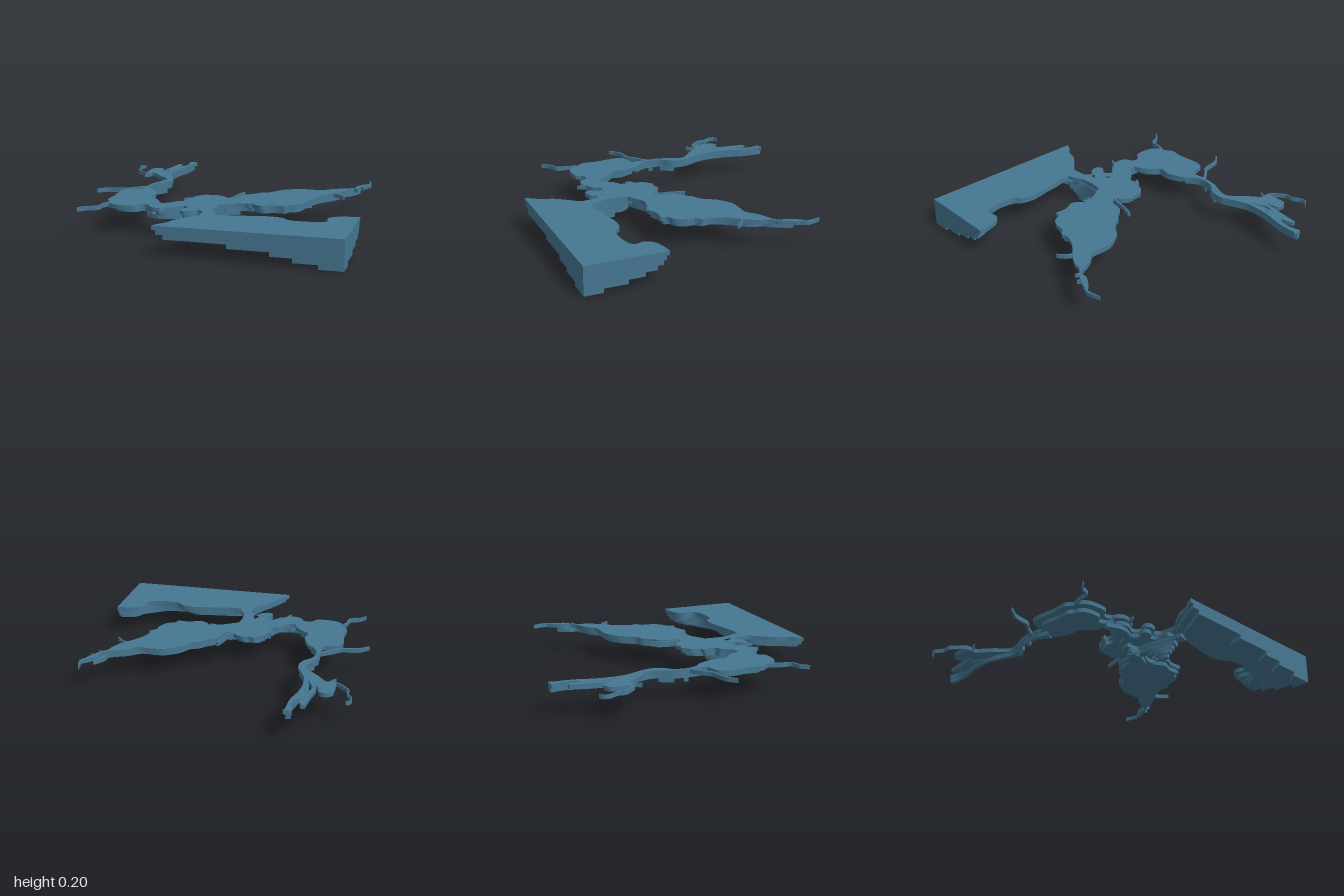
import * as THREE from 'three';

// Stepped relief of a bay: seven equal depth layers hang below one flat water surface.
// Plan coordinates are x, z pairs in hundredths of a unit.
const TOP = 0.2, STEP = TOP / 7;

export function createModel() {
  const group = new THREE.Group();
  const water = new THREE.MeshStandardMaterial({ color: 0x467792 });
  water.name = 'waterBlue';

  // Smooth curve through plan points; a third number carries the ribbon width
  function spline(flat, size, closed, per) {
    const pts = [];
    for (let i = 0; i < flat.length; i += size) {
      pts.push(new THREE.Vector3(flat[i] / 100, -flat[i + 1] / 100, size === 3 ? flat[i + 2] / 100 : 0));
    }
    return new THREE.CatmullRomCurve3(pts, closed, 'centripetal').getPoints(pts.length * per);
  }
  const flatten = (pts) => pts.map((p) => new THREE.Vector2(p.x, p.y));

  // Slab from layer `first` down to the bottom of layer `last`
  function slab(name, pts, first, last = first, holes = []) {
    const shape = new THREE.Shape(pts);
    holes.forEach((h) => shape.holes.push(new THREE.Path(h)));
    const geo = new THREE.ExtrudeGeometry(shape, { depth: STEP * (last - first + 1), bevelEnabled: false });
    geo.rotateX(-Math.PI / 2);
    geo.translate(0, TOP - STEP * last, 0);
    const mesh = new THREE.Mesh(geo, water);
    mesh.name = name;
    group.add(mesh);
  }

  // Closed rounded basin
  function outline(flat) {
    const pts = flatten(spline(flat, 2, true, 3));
    pts.pop();
    return pts;
  }
  const basin = (name, flat, first, last, holes = []) => slab(name, outline(flat), first, last, holes.map(outline));

  // Basin floor: the same outline shrunk about a centre
  function shrunk(flat, cx, cz, s) {
    return flat.map((v, i) => (i % 2 ? cz + (v - cz) * s : cx + (v - cx) * s));
  }

  // Ribbon following x, z, width triples
  function river(name, flat, first, last) {
    const mid = spline(flat, 3, false, 4), a = [], b = [];
    mid.forEach((p, i) => {
      const q = mid[Math.max(i - 1, 0)], r = mid[Math.min(i + 1, mid.length - 1)];
      const n = new THREE.Vector2(q.y - r.y, r.x - q.x).normalize().multiplyScalar(p.z / 2);
      a.push(new THREE.Vector2(p.x + n.x, p.y + n.y));
      b.unshift(new THREE.Vector2(p.x - n.x, p.y - n.y));
    });
    slab(name, a.concat(b), first, last);
  }

  // Open sea: each layer is a shoreline closed by the straight front and left edges
  const shores = [
    [-24.5, 100, -22, 95, -18, 90, -16, 83, -12, 77, -7, 71, -4, 67, -3, 63, 4, 62, 12, 62.5, 22, 60.5, 32, 59,
      40, 57.5, 50, 59, 53, 62.5, 56, 64, 66, 64.5, 72, 63.5, 77, 62, 79, 59, 77.5, 54, 78, 51, 82, 47, 88, 45, 97, 44],
    [-22, 100, -16, 88, -9, 76, -3, 68, 4, 65, 12, 65, 22, 63, 40, 60, 49, 62, 55, 66.5, 66, 67, 77, 65, 82, 60,
      81, 53, 85, 49, 97, 46],
    [-17, 100, -10, 88, -2, 74, 10, 68, 25, 66, 40, 64, 54, 70, 75, 68, 83, 59, 88, 51, 97, 48],
    [24, 100, 27, 90, 35, 82, 50, 76, 66, 73, 80, 66, 86, 56, 97, 52],
    [51, 100, 56, 90, 68, 81, 82, 72, 97, 60],
    [65, 100, 72, 88, 85, 78, 97, 71],
    [81, 100, 88, 92, 97, 87],
  ];
  shores.forEach((s, i) => {
    const pts = flatten(spline(s, 2, false, 3));
    pts.push(new THREE.Vector2(0.97, -1));
    slab('seaLayer' + (i + 1), pts, i + 1);
  });

  // Northeast bay
  const eastBay = [0, 17, 5, 15, 7, 8, 8.5, 2, 14, -2, 18, -7, 24, -10, 28, -16, 31, -20, 35, -23, 40, -26, 48, -27, 58, -27,
    64, -32, 68, -34.5, 75, -37.5, 79.5, -41, 79.5, -45, 82.5, -51, 86, -55, 86.5, -52, 83.5, -46, 81, -41, 76, -35,
    75, -30, 72, -24, 68, -18.5, 63.5, -13, 60, -7, 58, 0, 59, 4, 55, 8, 54.5, 14, 51, 21, 45.5, 24, 44.5, 28, 39, 27.5,
    34, 28.5, 28.5, 31, 22, 27.5, 20, 24, 20, 28, 16, 27, 11, 28, 6, 31, 0, 34, -2, 26];
  basin('eastBay', eastBay, 1, 1);
  basin('eastBayFloor', shrunk(eastBay, 36, 2, 0.92), 2, 2);
  river('eastBayChannel', [-4, 30, 6, 4, 25, 8, 12, 23, 4], 3, 3);

  // Central bay with islands
  const centralBay = [-42, 41, -36, 40, -32, 36.5, -29, 32, -25, 30, -24.5, 25, -27, 21.5, -23.5, 20, -22, 14, -19.5, 11.5,
    -16, 8.5, -12, 9.5, -8.5, 8, -4, 10, -0.5, 13, 1, 19, 2, 27, 0.5, 35, 0, 45, 1, 52, 4.5, 59, 5, 65, -3, 66,
    -4, 61, -5, 55.5, -9, 53, -12, 57, -18, 58.5, -20.5, 55.5, -19, 51.5, -17, 49, -21, 45, -24, 47, -26, 50,
    -31, 53, -35, 55, -40, 54.5, -44, 50];
  const islands = [
    [-16, 40, -14, 38.5, -12, 39.5, -12, 43, -14.5, 43],
    [-11, 48, -9, 45, -7, 47, -7, 51, -9.5, 51],
  ];
  basin('centralBay', centralBay, 1, 1, islands);
  basin('centralBayFloor', shrunk(centralBay, -14, 35, 0.87), 2, 2, islands);
  river('inlet', [-23, 21, 1.5, -26, 22, 2, -27.5, 25, 1], 1, 1);

  // Deep channels running out through the strait
  river('centralChannel', [-46, 45, 4, -36, 48, 6, -25, 44, 5, -19, 36, 7, -12, 31, 9, -5, 35, 6, -4, 42, 6, -3, 52, 5, 0, 62, 6, 2, 70, 8], 3, 3);
  river('channelStepFour', [-19, 40, 3, -17, 34, 4, -11, 32, 5, -5, 36, 5, -3.5, 46, 5, -2, 55, 4.5, 1, 64, 6], 4, 4);
  river('channelStepFive', [-3, 43, 3, -3, 50, 4.5, -2, 56, 4.5, 0, 62, 4], 5, 5);
  river('channelStepSix', [-3, 49, 3, -2.5, 55, 4.5, -1, 61, 3], 6, 6);
  river('channelStepSeven', [-2.5, 51.5, 2.5, -2, 55, 3.5, -1.5, 59, 2.5], 7, 7);
  [[-17, 39], [-14, 35], [-9, 37]].forEach(([x, z]) =>
    river('deepHole', [x, z - 1.5, 1.5, x, z, 2, x + 0.5, z + 1.5, 1.5], 5, 5));

  // West bay
  const westBay = [-65, 2, -58, 2, -54, 8, -51, 17.5, -52, 25, -47, 29, -43, 33.5, -40.5, 39, -39.5, 46, -39, 54, -43.5, 49.5,
    -48, 47.5, -51.5, 49.5, -53.5, 53, -60, 54, -68, 53, -73, 49, -74.5, 44, -77.5, 40, -77, 29, -78, 21, -78.5, 13,
    -76.5, 8, -71, 6, -66, 5];
  basin('westBay', westBay, 1, 1);
  basin('westBayFloor', shrunk(westBay, -56, 30, 0.79), 2, 2);

  // Main north river with braids
  const mainRiver = [-61, -100, 4.5, -60, -92, 3, -61, -83, 3.5, -63.5, -72, 3, -64.5, -60, 3, -63.5, -50, 3, -60, -40, 4,
    -57.5, -32, 5, -59, -25, 5.5, -63.5, -17, 3, -64.5, -7, 2.5, -63, 0, 5, -60, 6, 8];
  river('northRiver', mainRiver, 1, 1);
  river('northRiverBed', mainRiver.map((v, i) => (i % 3 === 2 ? v * 0.75 : v)), 2, 2);
  river('northRiverDeep', [-58, -26, 2.5, -60, -22, 2.5, -63, -17, 1.5], 3, 3);
  river('northRiverDeep', [-64, -11, 1.2, -64.5, -8, 1.2], 3, 3);
  river('riverFork', [-60.5, -97, 1.5, -58.5, -99, 1.5, -57.8, -100, 1], 1, 1);
  river('westBraid', [-68, -90, 2.5, -67.5, -83, 5, -69, -74, 4, -71, -64, 2.5, -68, -56, 2.5, -64, -46, 3], 1, 1);
  river('crossBraid', [-67, -82, 4, -65, -76, 4, -67, -68, 2, -66, -60, 2, -64, -54, 2], 1, 1);
  river('eastBraid', [-61, -84, 3, -64, -79, 3, -67, -73, 2], 1, 1);

  // Northwest lake draining into the river
  basin('lake', [-83, -68, -79, -70.5, -75, -69.5, -73.5, -64, -71, -59.5, -69, -55, -65, -49, -61, -41, -57, -36,
    -58, -32, -62, -37, -68.5, -43, -73.5, -49, -77, -52.5, -83, -53, -83.5, -61], 1, 1);

  // Thin creeks, one layer deep
  [
    [-79, -53, 1, -84, -53, 1, -88, -56.5, 1.2, -92.5, -62, 0.9, -92.5, -67, 0.8, -96, -73.5, 0.7, -95.5, -77, 0.6, -93, -79, 0.5],
    [-79, -53, 0.8, -81, -49, 0.8, -82.5, -47, 0.5],
    [-64, -7.5, 2, -72, -2, 1.8, -78, 3.5, 1.8, -86, 5, 1.6, -91, 6.5, 1.5, -97, 11.5, 1],
    [-73.5, 46, 1.6, -76, 53, 1.2, -77, 60, 1.5, -84, 63.5, 1.2, -88, 68.5, 0.6],
    [0.5, 17, 2, 3, 11, 1.4, 4.5, 2, 1.2, 7, -6, 1.5],
    [67, -20, 2, 72, -17.5, 1.2, 76.5, -12.5, 0.8],
    [85.5, -53, 2, 88, -56.5, 1.4, 87.5, -62, 1, 86, -67, 0.5],
    [78.5, -39.5, 1, 80, -39, 0.8, 82, -38, 0.5],
    [82, -46, 1, 83.5, -45.5, 0.8, 85.5, -44, 0.5],
    [-32, 53, 2, -33, 57, 1, -34, 59, 0.5],
  ].forEach((c) => river('creek', c, 1, 1));

  return group;
}
